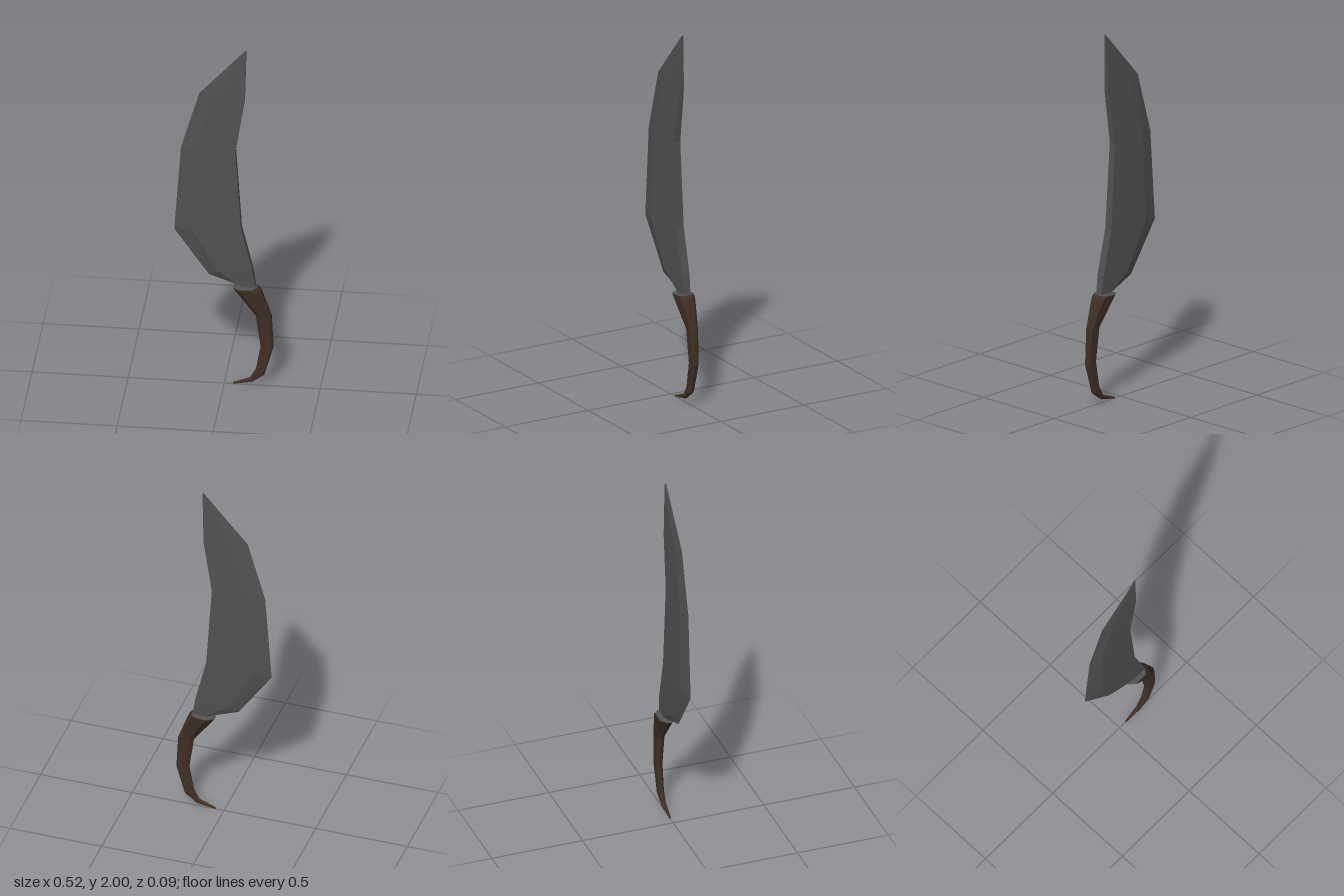
import * as THREE from 'three';

// Skins a stack of equal-length rings (anticlockwise from above) with flat faces and end caps.
function loft(rings) {
  const pos = [];
  const tri = (a, b, c) => pos.push(...a, ...b, ...c);
  const n = rings[0].length;
  for (let k = 0; k < rings.length - 1; k++) {
    const a = rings[k], b = rings[k + 1];
    for (let i = 0; i < n; i++) {
      const j = (i + 1) % n;
      tri(a[i], a[j], b[j]);
      tri(a[i], b[j], b[i]);
    }
  }
  const lo = rings[0], hi = rings[rings.length - 1];
  for (let i = 1; i < n - 1; i++) {
    tri(lo[0], lo[i + 1], lo[i]);
    tri(hi[0], hi[i], hi[i + 1]);
  }
  const geo = new THREE.BufferGeometry();
  geo.setAttribute('position', new THREE.Float32BufferAttribute(pos, 3));
  geo.computeVertexNormals();
  return geo;
}

// Blade section: cutting edge, bevel line, spine, half thickness.
const bladeRing = ([ex, ey, bx, by, sx, sy, t]) => [
  [sx, sy, t], [sx, sy, -t], [bx, by, -t], [ex, ey, 0], [bx, by, t],
];

// Grip section: octagon between an inner and an outer point, with half width w.
const OCTAGON = [[1, 0.45], [1, -0.45], [0.7, -1], [-0.45, -1], [-1, -0.3], [-1, 0.3], [-0.45, 1], [0.7, 1]];
const gripRing = ([ix, iy, ox, oy, w]) => OCTAGON.map(([u, v]) => {
  const f = (u + 1) / 2;
  return [ix + (ox - ix) * f, iy + (oy - iy) * f, v * w];
});

export function createModel() {
  const steel = new THREE.MeshStandardMaterial({ color: 0x505050 });
  steel.name = 'dark steel';
  const wood = new THREE.MeshStandardMaterial({ color: 0x3f2f25 });
  wood.name = 'dark wood';

  const group = new THREE.Group();
  const add = (name, rings, material) => {
    const mesh = new THREE.Mesh(loft(rings), material);
    mesh.name = name;
    group.add(mesh);
  };

  // Curved blade, from the heel to the tip
  add('blade', [
    [0.09, 0.59, 0.10, 0.59, 0.165, 0.59, 0.018],
    [-0.08, 0.65, -0.03, 0.68, 0.148, 0.70, 0.022],
    [-0.26, 0.91, -0.165, 0.92, 0.09, 0.94, 0.022],
    [-0.225, 1.40, -0.15, 1.40, 0.06, 1.40, 0.019],
    [-0.13, 1.73, -0.06, 1.71, 0.107, 1.70, 0.013],
    [0.112, 2.00, 0.113, 2.00, 0.116, 2.00, 0.004],
  ].map(bladeRing), steel);

  // Hooked handle, from the curled tip up to the flared collar
  const collar = [0.048, 0.582, 0.172, 0.594, 0.043];
  add('handle', [
    [0.046, 0.012, 0.046, 0.002, 0.004],
    [0.135, 0.045, 0.145, 0.022, 0.011],
    [0.165, 0.10, 0.21, 0.07, 0.015],
    [0.19, 0.24, 0.257, 0.235, 0.018],
    [0.165, 0.42, 0.246, 0.425, 0.022],
    [0.06, 0.565, 0.19, 0.577, 0.042],
    collar,
  ].map(gripRing), wood);

  // Bevelled steel plate closing the handle below the blade
  add('collarPlate', [collar, [0.075, 0.592, 0.168, 0.600, 0.035]].map(gripRing), steel);

  return group;
}
